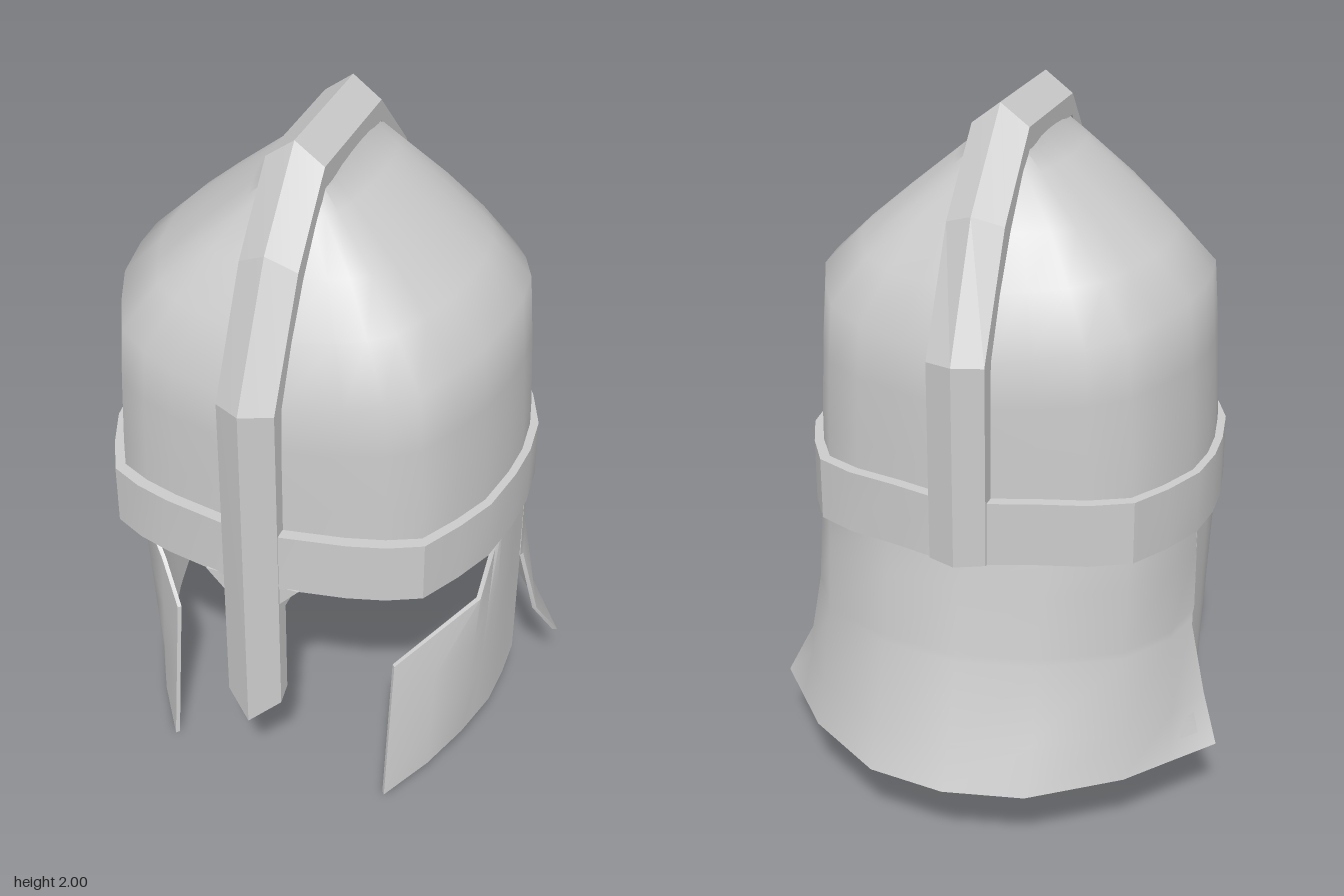
import * as THREE from 'three';
import { toCreasedNormals } from 'three/addons/utils/BufferGeometryUtils.js';

const material = new THREE.MeshStandardMaterial({ color: 0xcccccc, side: THREE.DoubleSide });

// Solid sheet between an outer and an inner grid of points, each a list of columns.
function slab(name, outer, inner, closed, crease) {
  const rings = outer.map((col, u) => [...col, ...inner[u].slice().reverse()]);
  const n = rings[0].length, count = rings.length, index = [];
  const quad = (a, b, c, d) => index.push(a, b, c, a, c, d);
  for (let u = 0; u < (closed ? count : count - 1); u++) {
    const a = u * n, b = ((u + 1) % count) * n;
    for (let v = 0; v < n; v++) quad(a + v, b + v, b + (v + 1) % n, a + (v + 1) % n);
  }
  if (!closed) {
    const e = (count - 1) * n;
    for (let v = 0; v < n / 2 - 1; v++) {
      quad(v, v + 1, n - 2 - v, n - 1 - v);
      quad(e + n - 1 - v, e + n - 2 - v, e + v + 1, e + v);
    }
  }
  const geometry = new THREE.BufferGeometry();
  geometry.setAttribute('position', new THREE.Float32BufferAttribute(rings.flat(2), 3));
  geometry.setIndex(index);
  const mesh = new THREE.Mesh(toCreasedNormals(geometry, crease), material);
  mesh.name = name;
  return mesh;
}

const CZ = 0.06; // middle of the head opening
const shrink = (grid, s) => grid.map(col => col.map(([x, y, z]) => [x * s, y, CZ + (z - CZ) * s]));
const mirror = grid => grid.map(col => col.map(([x, y, z]) => [-x, y, z])).reverse();

// Head outline from front centre round the left side to back centre, then mirrored
const half = [[0, 0.615], [0.08, 0.608], [0.26, 0.575], [0.36, 0.545], [0.45, 0.5], [0.51, 0.385], [0.557, 0.27],
  [0.58, 0.12], [0.585, 0], [0.57, -0.13], [0.515, -0.26], [0.45, -0.37], [0.34, -0.425], [0.2, -0.46], [0.08, -0.497], [0, -0.5]];
const outline = [...half, ...half.slice(1, -1).reverse().map(([x, z]) => [-x, z])];

function dome() {
  // rings: width scale, depth scale, height at front and back, height at the sides
  const rings = [[0.965, 0.94, 0.85, 0.85], [0.96, 0.935, 1.1, 1.1], [0.94, 0.935, 1.27, 1.32], [0.915, 0.925, 1.4, 1.51],
    [0.73, 0.8, 1.56, 1.615], [0.53, 0.66, 1.7, 1.715], [0.27, 0.51, 1.82, 1.84], [0, 0.36, 1.94, 1.95]];
  const grid = outline.map(([x, z]) => {
    const side = (x / 0.585) ** 2;
    return rings.map(([sx, sz, front, flank]) => [x * sx, front + (flank - front) * side, CZ + (z - CZ) * sz]);
  });
  return slab('dome', grid, shrink(grid, 0.97), true, 1);
}

function browBand() {
  const grid = outline.map(([x, z]) => [0.84, 1.02].map(y => [x, y, z]));
  return slab('browBand', grid, shrink(grid, 0.94), true, 0.45);
}

// Peaked strip running from the nose guard over the top to the back
function crest() {
  // per station: ridge z,y, edge z,y, underside z,y
  const path = [
    [0.66, 0.365, 0.61, 0.42, 0.565, 0.445], [0.66, 1.42, 0.612, 1.41, 0.565, 1.4],
    [0.47, 1.78, 0.445, 1.735, 0.42, 1.69], [0.27, 2, 0.268, 1.94, 0.265, 1.88],
    [-0.13, 2, -0.13, 1.94, -0.13, 1.88], [-0.37, 1.76, -0.335, 1.73, -0.29, 1.69],
    [-0.54, 1.41, -0.505, 1.405, -0.44, 1.39], [-0.54, 0.84, -0.505, 0.84, -0.44, 0.84]];
  const w = 0.08;
  const outer = path.map(([rz, ry, ez, ey]) => [[w, ey, ez], [0, ry, rz], [-w, ey, ez]]);
  const inner = path.map(p => [w, 0, -w].map(x => [x, p[5], p[4]]));
  return slab('crestAndNoseGuard', outer, inner, false, 0.1);
}

// Small gussets joining nose guard and band
function gusset(s) {
  const shape = new THREE.Shape([[0.07, 0.845], [0.07, 0.785], [0.08, 0.785], [0.135, 0.845]].map(([x, y]) => new THREE.Vector2(s * x, y)));
  const mesh = new THREE.Mesh(new THREE.ExtrudeGeometry(shape, { depth: 0.04, bevelEnabled: false }), material);
  mesh.position.z = 0.565;
  mesh.name = s > 0 ? 'leftGusset' : 'rightGusset';
  return mesh;
}

// Cheek guard columns, front to back: bottom and top points, subdivided between
function cheekColumns() {
  const ends = [
    [[0.34, 0, 0.465], [0.34, 0.46, 0.4]], [[0.43, 0.045, 0.34], [0.435, 0.54, 0.3]],
    [[0.495, 0.09, 0.22], [0.53, 0.63, 0.22]], [[0.515, 0.1, 0.15], [0.545, 0.77, 0.155]],
    [[0.535, 0.11, 0.08], [0.56, 0.86, 0.15]], [[0.55, 0.155, 0], [0.565, 0.86, 0.03]],
    [[0.555, 0.2, -0.08], [0.56, 0.86, -0.08]]];
  return ends.map(([a, b]) => [0, 0.33, 0.67, 1].map(t => a.map((v, i) => v + (b[i] - v) * t)));
}

// Flared neck guard with a notch at its front edges
function neckGuard() {
  const rows = [
    [0.205, [0.665, -0.195], [0.56, -0.325], [0.46, -0.45], [0.225, -0.62], [0, -0.66]],
    [0.33, [0.61, -0.13], [0.55, -0.27], [0.45, -0.42], [0.225, -0.57], [0, -0.615]],
    [0.55, [0.56, -0.11], [0.53, -0.24], [0.435, -0.385], [0.22, -0.5], [0, -0.545]],
    [0.57, [0.56, -0.075], [0.53, -0.23], [0.435, -0.383], [0.22, -0.497], [0, -0.54]],
    [0.75, [0.56, -0.075], [0.525, -0.215], [0.435, -0.365], [0.22, -0.465], [0, -0.505]],
    [0.86, [0.56, -0.075], [0.525, -0.21], [0.435, -0.36], [0.22, -0.45], [0, -0.485]]];
  const left = [1, 2, 3, 4, 5].map(c => rows.map(r => [r[c][0], r[0], r[c][1]]));
  const grid = [...left, ...mirror(left.slice(0, -1))];
  return slab('neckGuard', grid, shrink(grid, 0.98), false, 0.8);
}

export function createModel() {
  const group = new THREE.Group();
  group.name = 'helmet';
  group.add(dome(), browBand(), crest(), gusset(1), gusset(-1), neckGuard());
  const cheek = cheekColumns(), other = mirror(cheek);
  group.add(slab('leftCheekGuard', cheek, shrink(cheek, 0.975), false, 0.7));
  group.add(slab('rightCheekGuard', other, shrink(other, 0.975), false, 0.7));

  // Block behind the top of the nose guard
  const block = new THREE.Mesh(new THREE.BoxGeometry(0.14, 0.13, 0.14), material);
  block.position.set(0, 0.79, 0.5);
  block.name = 'browBlock';
  group.add(block);
  return group;
}
